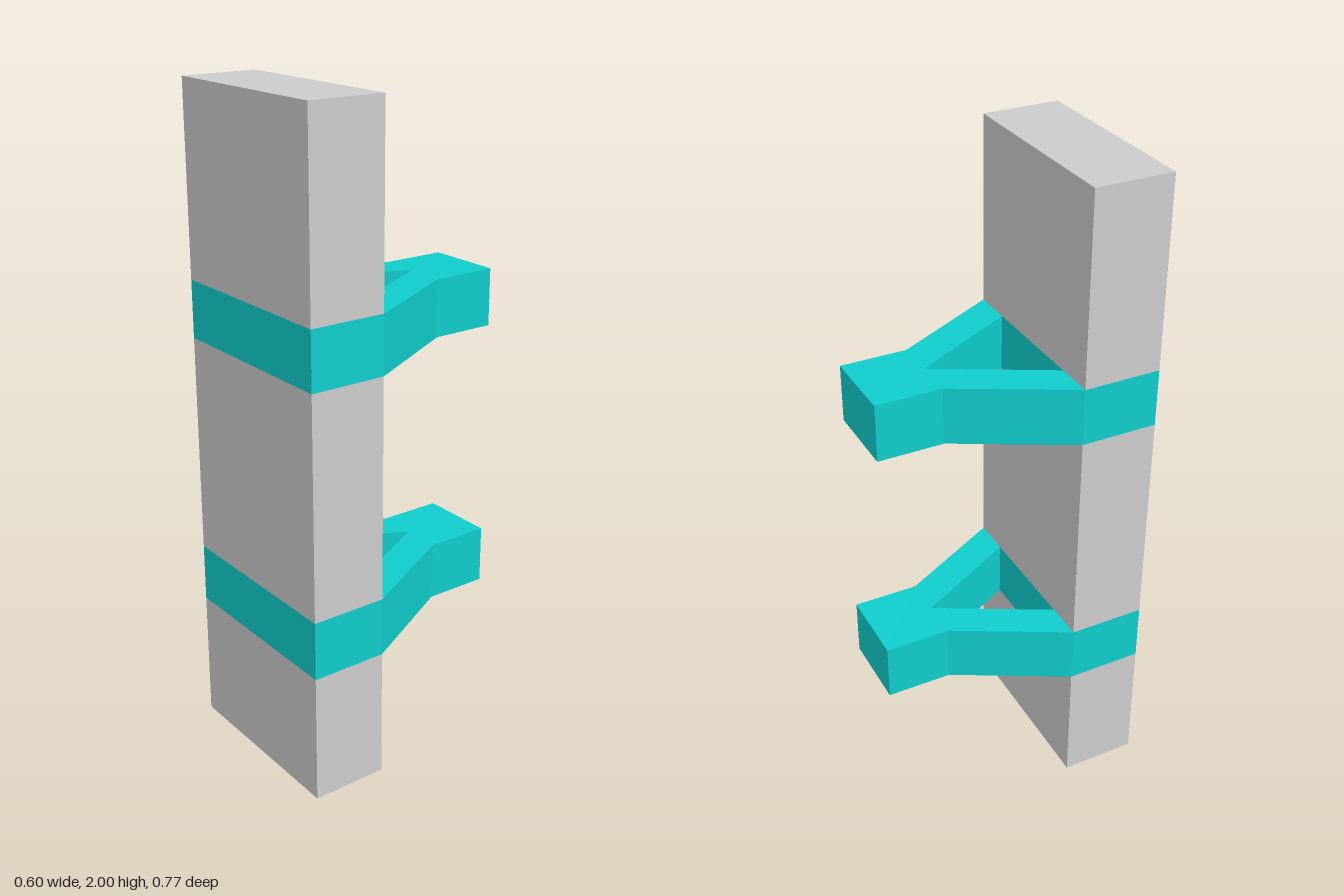
import * as THREE from 'three';

export function createModel() {
  const group = new THREE.Group();
  const grey = new THREE.MeshStandardMaterial({ color: 0xcccccc, flatShading: true });
  const cyan = new THREE.MeshStandardMaterial({ color: 0x10cccc, flatShading: true });

  const W = 0.3, FRONT = 0.385, BACK = 0.15;   // post half width and depth range
  const bands = [[0.4, 0.58], [1.255, 1.43]];  // bottom and top of each bracket

  // Post: grey lengths between the flush bracket bands
  const cuts = [0, ...bands.flat(), 2];
  for (let i = 0; i < cuts.length; i += 2) {
    const h = cuts[i + 1] - cuts[i];
    const post = new THREE.Mesh(new THREE.BoxGeometry(W * 2, h, FRONT - BACK), grey);
    post.position.set(0, cuts[i] + h / 2, (FRONT + BACK) / 2);
    post.name = 'postSection' + (i / 2 + 1);
    group.add(post);
  }

  // Bracket plan: band through the post, two converging arms, rear block
  const plan = (points) => points.map(([x, z]) => new THREE.Vector2(x, -z));
  const outline = new THREE.Shape(plan([
    [-W, FRONT], [W, FRONT], [W, BACK], [0.12, -0.185],
    [0.12, -0.385], [-0.12, -0.385], [-0.12, -0.185], [-W, BACK],
  ]));
  outline.holes.push(new THREE.Path(plan([[0, -0.185], [0.18, BACK], [-0.18, BACK]])));

  bands.forEach(([y0, y1], i) => {
    const geometry = new THREE.ExtrudeGeometry(outline, { depth: y1 - y0, bevelEnabled: false });
    geometry.rotateX(-Math.PI / 2);
    const bracket = new THREE.Mesh(geometry, cyan);
    bracket.position.y = y0;
    bracket.name = i ? 'upperBracket' : 'lowerBracket';
    group.add(bracket);
  });

  return group;
}
